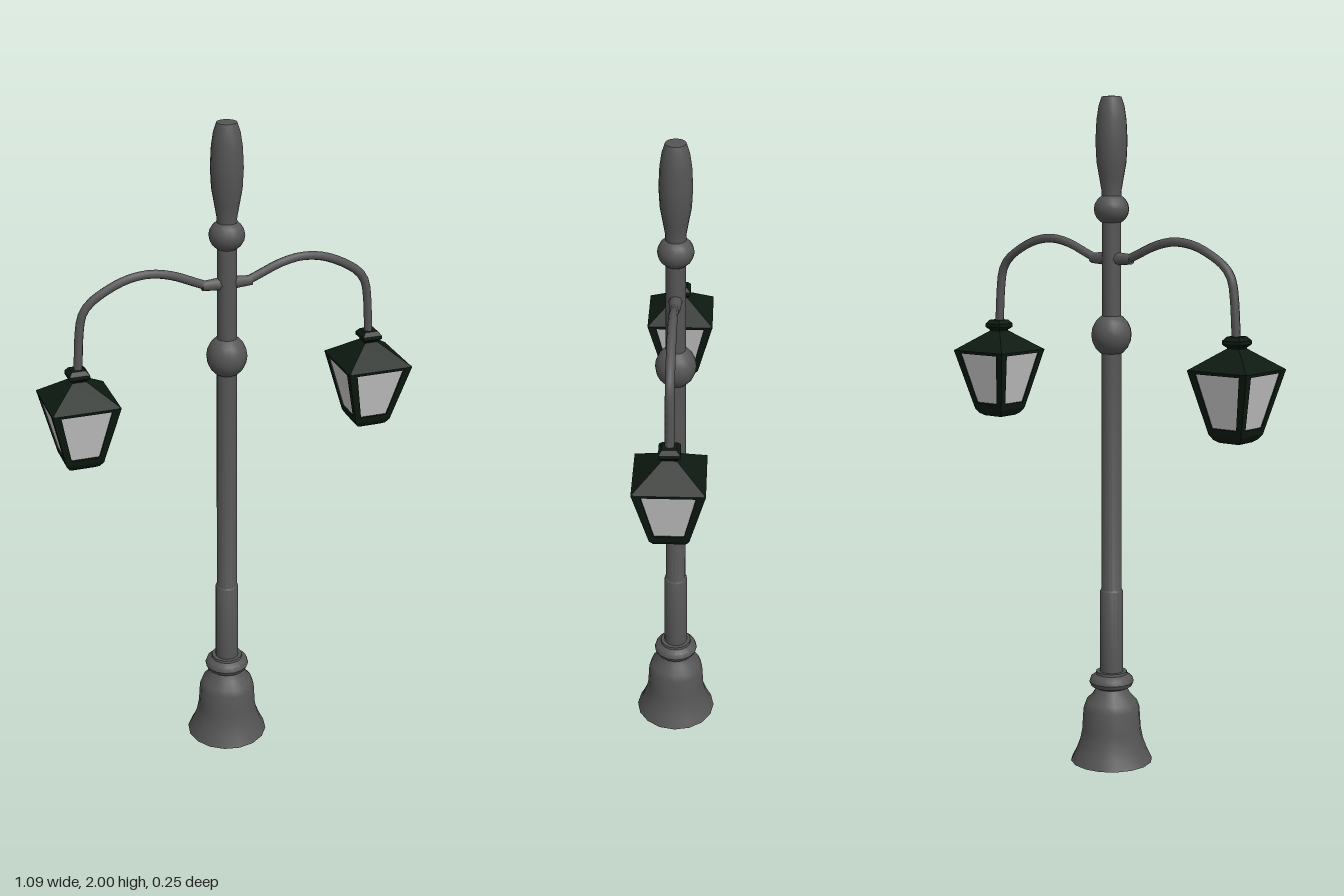
import * as THREE from 'three';
import { toCreasedNormals } from 'three/addons/utils/BufferGeometryUtils.js';

const iron = new THREE.MeshStandardMaterial({ color: 0x555555 });
const green = new THREE.MeshStandardMaterial({ color: 0x0d1a11, flatShading: true });
const glass = new THREE.MeshStandardMaterial({ color: 0xcccccc, side: THREE.DoubleSide });

function add(parent, name, geometry, material) {
  const mesh = new THREE.Mesh(geometry, material);
  mesh.name = name;
  parent.add(mesh);
  return mesh;
}

const points = (list) => list.map(([r, y]) => new THREE.Vector2(r, y));

// Round turned part from [radius, height] pairs
const turned = (list) => toCreasedNormals(new THREE.LatheGeometry(points(list), 16), 0.7);

// Square stacked part from [half width, height] pairs
const squared = (list) => new THREE.LatheGeometry(
  points(list.map(([h, y]) => [h * Math.SQRT2, y])), 4, Math.PI / 4);

// Closed outline of a trapezoid standing between two heights
const trapezoid = (low, high, y0, y1) => points([[-low, y0], [low, y0], [high, y1], [-high, y1]]);

function createLantern() {
  const lantern = new THREE.Group();
  const bottomY = 1.05, topY = 1.233, low = 0.055, high = 0.1;
  const slant = Math.hypot(topY - bottomY, high - low);
  const tilt = Math.atan2(high - low, topY - bottomY);

  add(lantern, 'roof', squared([[0, topY], [high, topY], [0.028, 1.287], [0.02, 1.293], [0.02, 1.3]]), green);
  add(lantern, 'roofCap', squared([[0, 1.297], [0.022, 1.297], [0.03, 1.305], [0.03, 1.315], [0.02, 1.327], [0, 1.327]]), green);
  add(lantern, 'lanternFloor', squared([[0, 1.026], [0.033, 1.027], [0.045, 1.035], [low, bottomY], [0, bottomY]]), green);

  // Four tilted window frames with panes set slightly back
  const frameShape = new THREE.Shape(trapezoid(low, high, 0, slant));
  frameShape.holes.push(new THREE.Path(trapezoid(0.041, 0.074, 0.02, slant - 0.009)));
  const frameGeometry = new THREE.ExtrudeGeometry(frameShape, { depth: 0.007, bevelEnabled: false });
  frameGeometry.translate(0, 0, -0.007);
  const paneGeometry = new THREE.ShapeGeometry(
    new THREE.Shape(trapezoid(0.044, 0.078, 0.015, slant - 0.004)));
  paneGeometry.translate(0, 0, -0.004);

  for (let i = 0; i < 4; i++) {
    const side = new THREE.Group();
    side.name = 'lanternSide';
    side.rotation.y = i * Math.PI / 2;
    const panel = new THREE.Group();
    panel.name = 'windowPanel';
    panel.position.set(0, bottomY, low);
    panel.rotation.x = tilt;
    add(panel, 'windowFrame', frameGeometry, green);
    add(panel, 'windowPane', paneGeometry, glass);
    side.add(panel);
    lantern.add(side);
  }
  return lantern;
}

export function createModel() {
  const model = new THREE.Group();
  model.name = 'streetLamp';

  // Post, from the ground up
  add(model, 'base', turned([
    [0, 0], [0.125, 0], [0.11, 0.03], [0.097, 0.065], [0.09, 0.1], [0.086, 0.165], [0.078, 0.187],
    [0.058, 0.207], [0.047, 0.228], [0.062, 0.235], [0.068, 0.248], [0.063, 0.262],
    [0.048, 0.272], [0.047, 0.28], [0, 0.28],
  ]), iron);
  add(model, 'lowerPost', turned([[0.036, 0.27], [0.035, 0.53], [0.031, 0.535], [0.03, 1.27]]), iron);
  add(model, 'upperPost', turned([[0.029, 1.27], [0.028, 1.66]]), iron);
  const knob = add(model, 'postKnob', new THREE.SphereGeometry(0.06, 16, 10), iron);
  knob.position.y = 1.306;
  knob.scale.y = 1.08;
  const ball = add(model, 'finialBall', new THREE.SphereGeometry(0.052, 16, 10), iron);
  ball.position.y = 1.674;
  ball.scale.y = 0.9;
  add(model, 'finial', turned([
    [0.03, 1.69], [0.029, 1.725], [0.036, 1.765], [0.044, 1.81], [0.047, 1.87],
    [0.044, 1.93], [0.038, 1.97], [0.029, 1.997], [0, 2],
  ]), iron);

  // Matching arm and lantern on each side
  for (const s of [1, -1]) {
    const side = new THREE.Group();
    side.name = s > 0 ? 'leftLamp' : 'rightLamp';
    side.rotation.y = s > 0 ? 0 : Math.PI;
    model.add(side);

    const socket = add(side, 'armSocket', new THREE.CylinderGeometry(0.015, 0.021, 0.075, 8), iron);
    socket.rotation.z = -Math.PI / 2;
    socket.position.set(0.037, 1.53, 0);

    const path = new THREE.CatmullRomCurve3([
      [0.05, 1.525], [0.1, 1.546], [0.16, 1.571], [0.225, 1.584], [0.29, 1.577], [0.35, 1.553],
      [0.405, 1.517], [0.427, 1.485], [0.436, 1.44], [0.445, 1.315],
    ].map(([x, y]) => new THREE.Vector3(x, y, 0)));
    add(side, 'arm', new THREE.TubeGeometry(path, 24, 0.013, 8), iron);

    const lantern = createLantern();
    lantern.name = 'lantern';
    lantern.position.x = 0.447;
    side.add(lantern);
  }
  return model;
}
